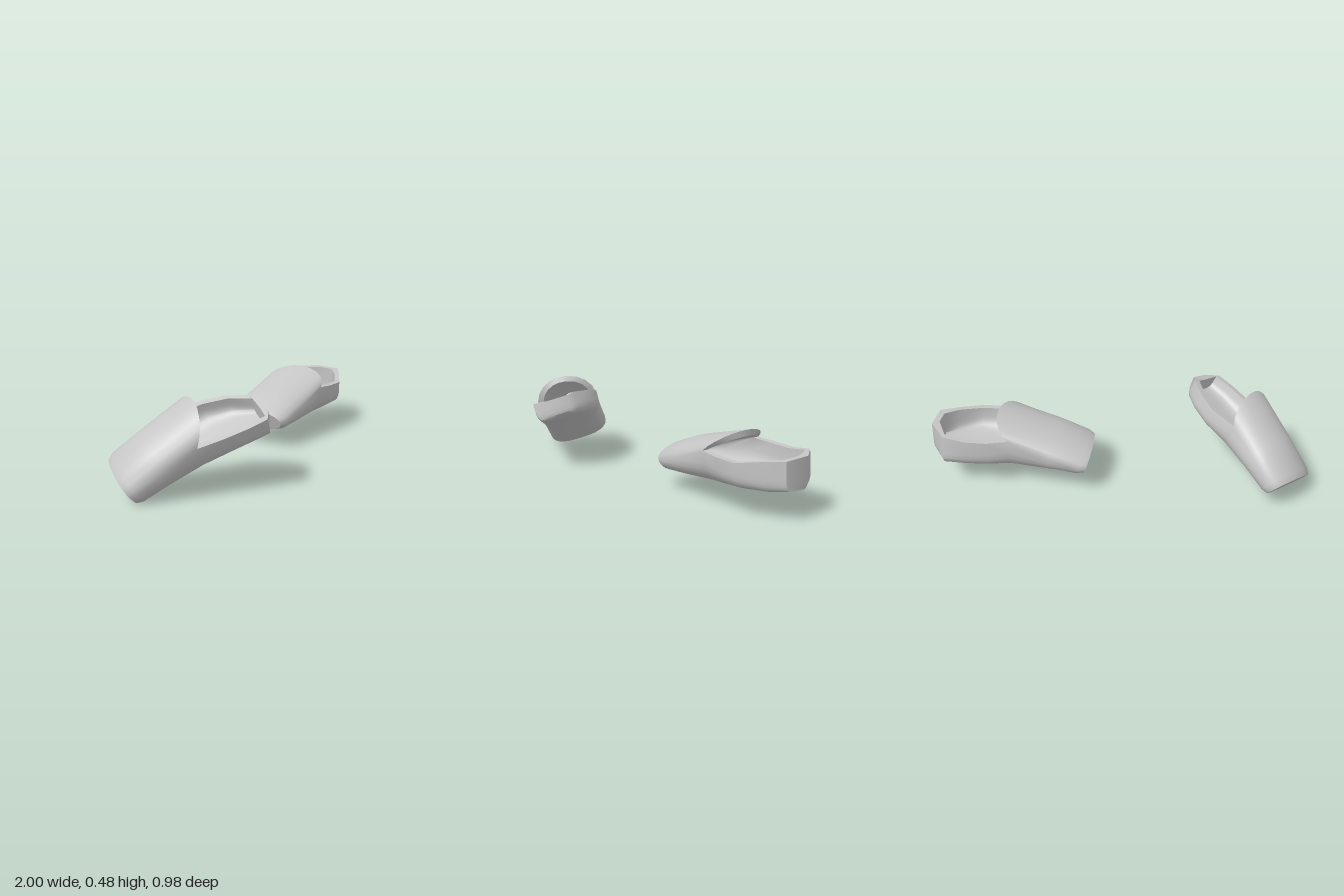
import * as THREE from 'three';
import { toCreasedNormals } from 'three/addons/utils/BufferGeometryUtils.js';

const grey = new THREE.MeshStandardMaterial({ color: 0xc6c6c6, side: THREE.DoubleSide });
grey.name = 'grey';

const WALL = 0.033; // wall thickness
const LOW = 16;     // steps around the sole and sides
const TOP = 10;     // steps over the instep
const LIP = 3;      // last section that has an instep
const REACH = 0.09; // how far the instep edge reaches over the opening

// Cross-sections from toe to heel: u along the shoe, outer/inner half widths l and r,
// rim height, instep height, squareness p of the sole, lean, sole height,
// skew of the section across the shoe, tilt of the sole
const flatShoe = [
  { u: 0.045, l: 0.172, r: 0.17, rim: 0.07, top: 0.132, p: 0.9, lean: -0.33, base: 0.008, skew: 0.06, tilt: 0 },
  { u: 0.08, l: 0.186, r: 0.19, rim: 0.077, top: 0.149, p: 0.87, lean: -0.3, base: 0, skew: 0.06, tilt: 0 },
  { u: 0.22, l: 0.186, r: 0.192, rim: 0.115, top: 0.2, p: 0.72, lean: -0.1, base: 0, skew: 0, tilt: 0 },
  { u: 0.43, l: 0.187, r: 0.192, rim: 0.185, top: 0.264, p: 0.6, lean: 0.03, base: 0, skew: 0, tilt: 0.04 },
  { u: 0.54, l: 0.208, r: 0.192, rim: 0.168, p: 0.52, lean: 0, base: 0, skew: 0, tilt: 0.07 },
  { u: 0.66, l: 0.212, r: 0.188, rim: 0.158, p: 0.44, lean: 0, base: 0, skew: 0, tilt: 0.1 },
  { u: 0.78, l: 0.207, r: 0.115, rim: 0.167, p: 0.34, lean: 0, base: 0, skew: 0, tilt: 0.12 },
  { u: 0.865, l: 0.095, r: 0.05, rim: 0.17, p: 0.32, lean: 0.06, base: 0.012, skew: 0, tilt: 0.12 },
];
const tippedShoe = [
  { u: 0.042, l: 0.162, r: 0.172, rim: 0.075, top: 0.145, p: 0.65, lean: -0.33, base: -0.008, skew: 0, tilt: 0 },
  { u: 0.075, l: 0.175, r: 0.188, rim: 0.085, top: 0.168, p: 0.65, lean: -0.3, base: -0.012, skew: 0, tilt: 0 },
  { u: 0.22, l: 0.17, r: 0.188, rim: 0.12, top: 0.228, p: 0.65, lean: -0.1, base: 0, skew: 0, tilt: 0 },
  { u: 0.4, l: 0.165, r: 0.192, rim: 0.168, top: 0.303, p: 0.6, lean: 0, base: 0.01, skew: 0, tilt: 0 },
  { u: 0.54, l: 0.163, r: 0.203, rim: 0.147, p: 0.55, lean: 0, base: 0.015, skew: 0, tilt: 0 },
  { u: 0.66, l: 0.163, r: 0.165, rim: 0.138, p: 0.48, lean: 0, base: 0.018, skew: 0, tilt: 0 },
  { u: 0.755, l: 0.15, r: 0.09, rim: 0.128, p: 0.4, lean: 0.1, base: 0.014, skew: 0, tilt: 0 },
  { u: 0.78, l: 0.065, r: 0.05, rim: 0.112, p: 0.35, lean: 0.25, base: 0.025, skew: 0, tilt: 0 },
];

// Point rows of one shell; d is the inset from the outer surface
function shellRows(sections, d) {
  const low = [], top = [];
  sections.forEach((s, i) => {
    const shift = i < 2 ? d : i === sections.length - 1 ? -d : 0;
    const width = (c) => c * ((c > 0 ? s.r : s.l) - Math.min(d, 0.6 * s.r));
    const point = (w, n, extra = 0) => [s.u + shift + s.lean * n + s.skew * w + extra, n, w];
    const a = [], b = [];
    for (let k = 0; k <= LOW; k++) {
      const t = (Math.PI * k) / LOW, c = Math.cos(t);
      const w = width(Math.sign(c) * Math.abs(c) ** s.p);
      const sink = Math.max(0, Math.sin(t)) ** s.p;
      a.push(point(w, s.rim - (s.rim - s.base - s.tilt * w - d) * sink));
    }
    low.push(a);
    if (i > LIP) return;
    for (let k = 0; k <= TOP; k++) {
      const t = (Math.PI * k) / TOP, sin = Math.max(0, Math.sin(t));
      b.push(point(width(Math.cos(t)), s.rim + (s.top - s.rim - d) * sin, i === LIP ? REACH * sin : 0));
    }
    top.push(b);
  });
  return { low, top };
}

// Geometry from strips between neighbouring rows
function loft(grids) {
  const pos = [];
  const tri = (...pts) => pts.forEach((p) => pos.push(...p));
  for (const { rows, flip } of grids) {
    for (let i = 0; i + 1 < rows.length; i++) {
      for (let k = 0; k + 1 < rows[i].length; k++) {
        const a = rows[i][k], b = rows[i][k + 1], c = rows[i + 1][k + 1], e = rows[i + 1][k];
        if (flip) { tri(a, c, b); tri(a, e, c); } else { tri(a, b, c); tri(a, c, e); }
      }
    }
  }
  const geo = new THREE.BufferGeometry();
  geo.setAttribute('position', new THREE.Float32BufferAttribute(pos, 3));
  return toCreasedNormals(geo, 0.9);
}

// Two rows that fill a closed end between its left and right sides
function endFill(row) {
  const half = Math.floor(row.length / 2);
  return [row.slice(0, half + 1), row.slice(row.length - 1 - half).reverse()];
}

function makeShoe(name, sections) {
  const shoe = new THREE.Group();
  shoe.name = name;
  const outer = shellRows(sections, 0), inner = shellRows(sections, WALL);
  const last = sections.length - 1;
  const add = (part, grids) => {
    const mesh = new THREE.Mesh(loft(grids), grey);
    mesh.name = part;
    shoe.add(mesh);
  };
  const shell = ({ low, top }, inside) => [
    { rows: low, flip: inside },
    { rows: top, flip: !inside },
    { rows: endFill(low[last]), flip: inside },
  ];
  add('outerShell', shell(outer, false));
  add('innerLining', shell(inner, true));

  // flat toe
  add('toeCap', [
    { rows: endFill(outer.low[0]), flip: true },
    { rows: endFill(outer.top[0]), flip: false },
  ]);

  // rim around the opening: along one side, across the heel, back along the other
  const edge = ({ low }) => [
    ...low.slice(LIP).map((r) => r[0]),
    ...low.slice(LIP).map((r) => r[LOW]).reverse(),
  ];
  add('openingRim', [{ rows: [edge(outer), edge(inner)], flip: false }]);
  add('instepEdge', [{ rows: [outer.top[LIP], inner.top[LIP]], flip: true }]);
  return shoe;
}

export function createModel() {
  const model = new THREE.Group();
  model.name = 'pairOfSlippers';

  // slipper lying flat
  const left = makeShoe('leftSlipper', flatShoe);
  left.position.set(0.139, 0.095, -0.162);
  left.rotation.set(0.04, 0.168, 0.07, 'YZX');

  // opposite foot, tipped up at the heel and rolled to one side
  const right = makeShoe('rightSlipper', tippedShoe);
  right.scale.z = -1;
  right.position.set(-0.905, 0.024, -0.012);
  right.rotation.set(0.32, -0.52, 0.4, 'YZX');

  model.add(left, right);
  return model;
}
